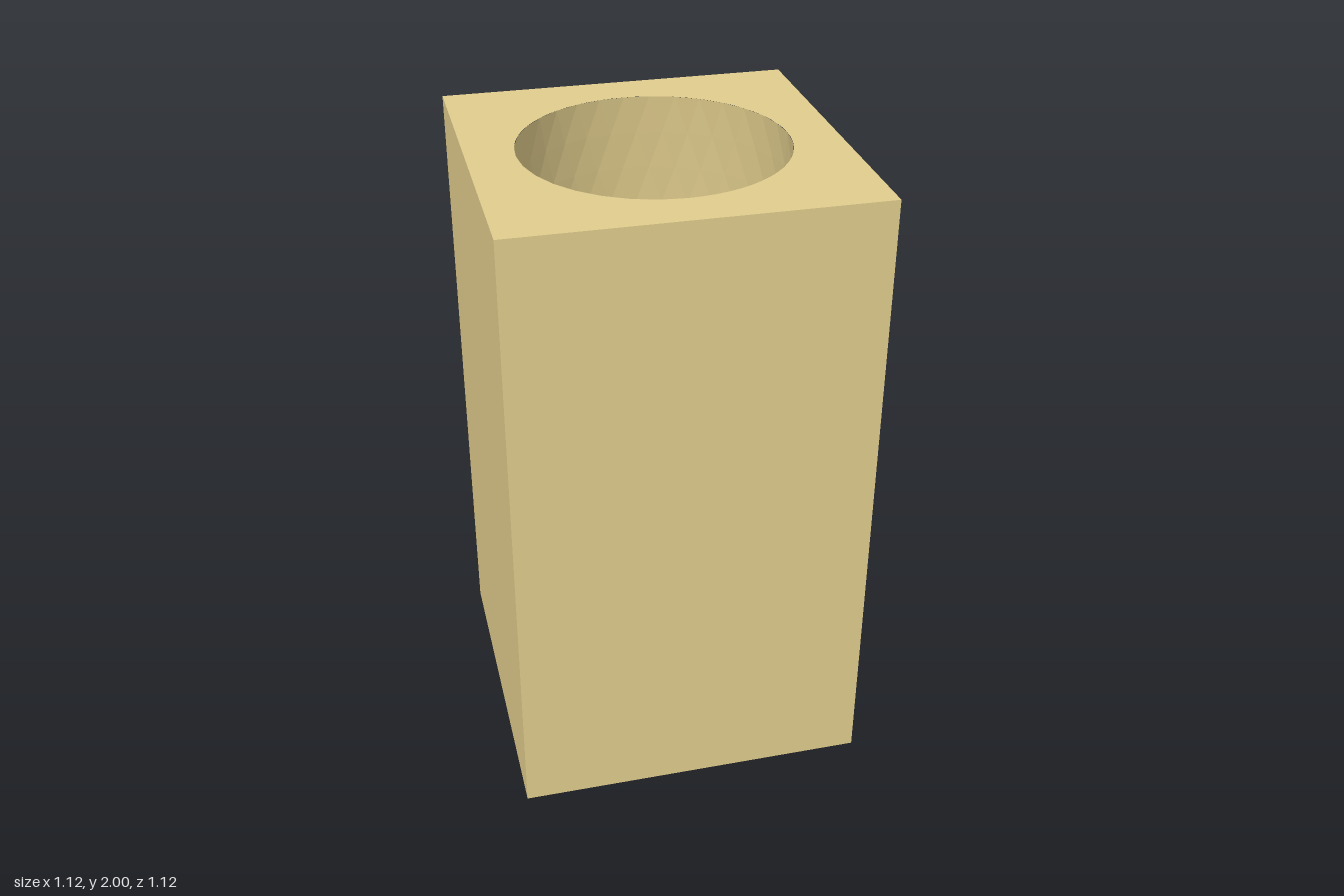
import * as THREE from 'three';

const WIDTH = 1.12, HEIGHT = 2, HALF = WIDTH / 2;
const MOUTH = 0.413, BELLY = 0.47;   // bore radius at the ends and at mid height
const SIDES = 32, ROWS = 16;

const material = new THREE.MeshStandardMaterial({ color: 0xe0cc8c, flatShading: true });
const liningMaterial = material.clone();
liningMaterial.side = THREE.DoubleSide;

function addMesh(parent, name, geometry, mat = material) {
  const mesh = new THREE.Mesh(geometry, mat);
  mesh.name = name;
  parent.add(mesh);
  return mesh;
}

// Square plate with a round opening
function plateGeometry() {
  const shape = new THREE.Shape([
    new THREE.Vector2(-HALF, -HALF), new THREE.Vector2(HALF, -HALF),
    new THREE.Vector2(HALF, HALF), new THREE.Vector2(-HALF, HALF),
  ]);
  const hole = new THREE.Path();
  hole.absarc(0, 0, MOUTH, 0, Math.PI * 2, true);
  shape.holes.push(hole);
  return new THREE.ShapeGeometry(shape, SIDES);
}

// Gently bulging bore made of staggered triangles
function boreGeometry() {
  const geometry = new THREE.CylinderGeometry(1, 1, HEIGHT, SIDES, ROWS, true);
  const pos = geometry.attributes.position;
  const k = 1 - (MOUTH / BELLY) ** 2;
  for (let i = 0; i < pos.count; i++) {
    const y = pos.getY(i);
    const row = Math.round((HEIGHT / 2 - y) / HEIGHT * ROWS);
    const angle = Math.atan2(pos.getX(i), pos.getZ(i)) + row * Math.PI / SIDES;
    const r = BELLY * Math.sqrt(1 - k * y * y);
    pos.setXYZ(i, r * Math.sin(angle), y, r * Math.cos(angle));
  }
  geometry.computeVertexNormals();
  return geometry;
}

export function createModel() {
  const model = new THREE.Group();
  model.name = 'hollowBlock';

  // Four outer walls
  ['frontWall', 'leftWall', 'backWall', 'rightWall'].forEach((name, i) => {
    const angle = i * Math.PI / 2;
    const wall = addMesh(model, name, new THREE.PlaneGeometry(WIDTH, HEIGHT));
    wall.position.set(HALF * Math.sin(angle), HEIGHT / 2, HALF * Math.cos(angle));
    wall.rotation.y = angle;
  });

  // Pierced ends
  const top = addMesh(model, 'topPlate', plateGeometry());
  top.rotation.x = -Math.PI / 2;
  top.position.y = HEIGHT;
  const bottom = addMesh(model, 'bottomPlate', plateGeometry());
  bottom.rotation.x = Math.PI / 2;

  // Inside of the through hole
  addMesh(model, 'boreLining', boreGeometry(), liningMaterial).position.y = HEIGHT / 2;

  return model;
}
